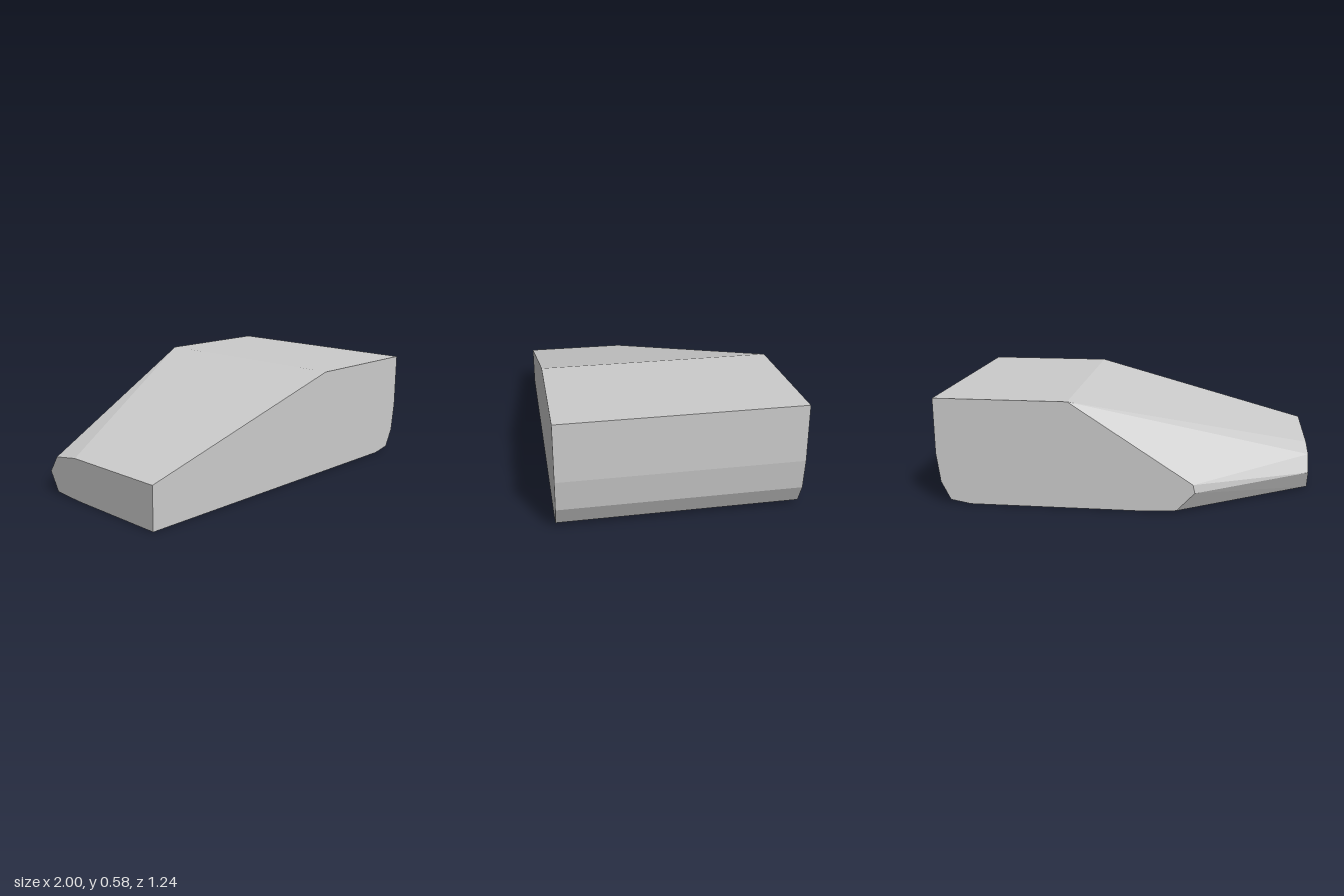
import * as THREE from 'three';
import { ConvexGeometry } from 'three/addons/geometries/ConvexGeometry.js';

export function createModel() {
  const group = new THREE.Group();
  group.name = 'wedgeBlock';

  const paleGrey = new THREE.MeshStandardMaterial({ color: 0xcccccc });
  paleGrey.name = 'paleGrey';

  const halfDepth = 0.62;
  const points = [];
  const add = (x, y, z) => points.push(new THREE.Vector3(x, y, z));

  // Profile shared by the front and back: flat top, rounded lower edge
  const profile = [[0.28, 0.58], [1, 0.58], [1, 0.28], [0.98, 0.12], [0.93, 0.02], [0.82, 0]];
  for (const z of [halfDepth, -halfDepth]) {
    for (const [x, y] of profile) add(x, y, z);
  }

  // Full-height low end at the front corner
  add(-1, 0.228, halfDepth);
  add(-1, 0, halfDepth);

  // Cut-off rear corner: its edge along the back face
  add(-0.375, 0.155, -halfDepth);
  add(-0.385, 0.11, -halfDepth);
  add(-0.29, 0.01, -halfDepth);
  add(-0.12, 0, -halfDepth);

  // Cut-off rear corner: its edge along the low end
  add(-1, 0.226, 0.02);
  add(-1, 0.2, -0.14);
  add(-1, 0.11, -0.2);
  add(-1, 0.008, -0.14);
  add(-1, 0, 0.04);

  const body = new THREE.Mesh(new ConvexGeometry(points), paleGrey);
  body.name = 'body';
  group.add(body);

  return group;
}
